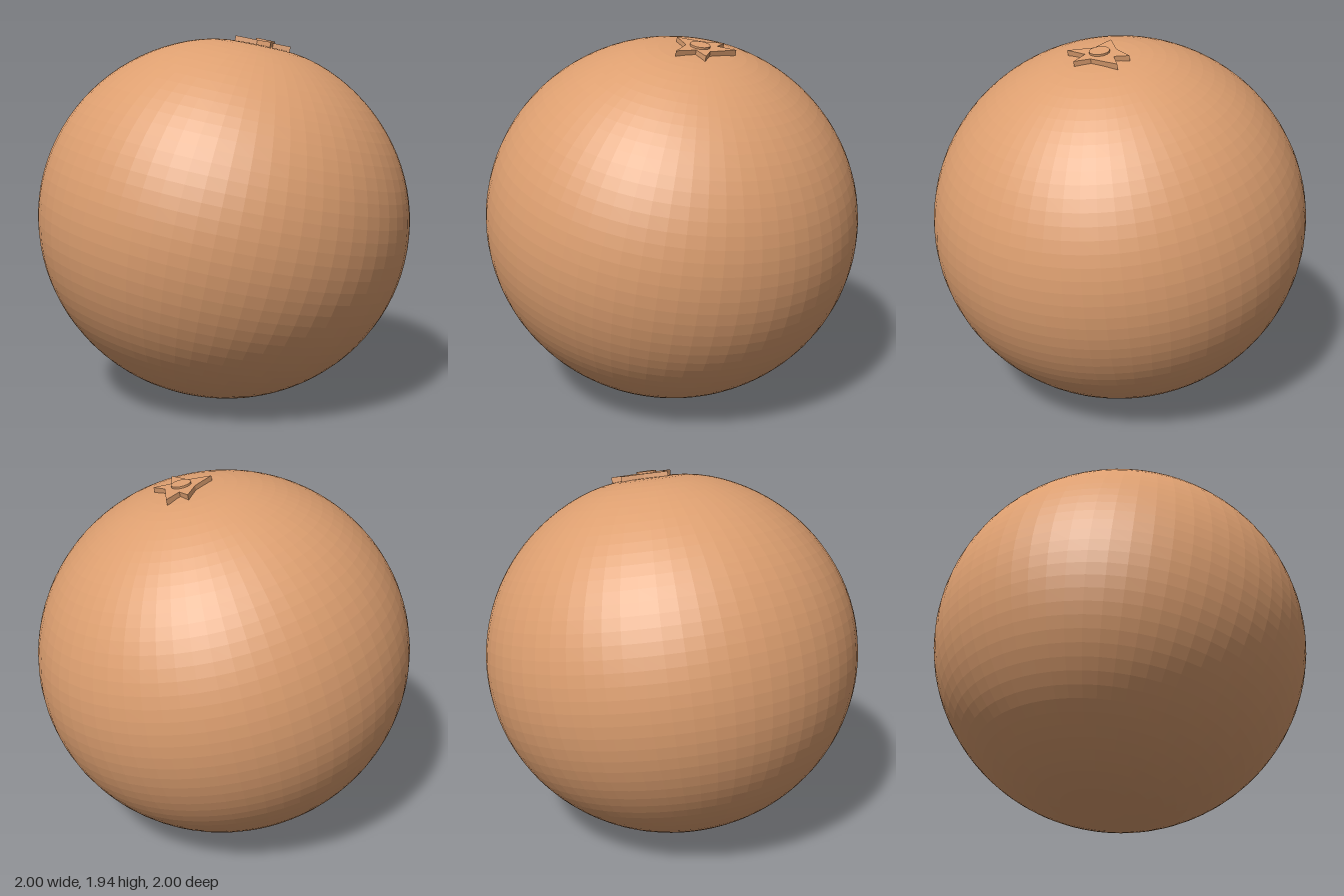
import * as THREE from 'three';

const material = new THREE.MeshStandardMaterial({ color: 0xdd9f70, flatShading: true });

function addMesh(parent, name, geometry) {
  const mesh = new THREE.Mesh(geometry, material);
  mesh.name = name;
  parent.add(mesh);
  return mesh;
}

// Slightly squashed sphere with a shallow dimple at each pole
function fruitGeometry() {
  const geometry = new THREE.SphereGeometry(1, 64, 48);
  const p = geometry.attributes.position;
  for (let i = 0; i < p.count; i++) {
    const r = Math.hypot(p.getX(i), p.getZ(i));
    p.setY(i, p.getY(i) * (0.967 - 0.018 * Math.exp(-((r / 0.2) ** 2))));
  }
  geometry.computeVertexNormals();
  return geometry;
}

// Irregular five-pointed calyx, outlined as [x, z] around the stem
function calyxGeometry() {
  const outline = [
    [-0.155, 0.0], [-0.045, 0.05], [0.005, 0.175], [0.04, 0.065], [0.13, 0.09],
    [0.09, 0.015], [0.13, -0.14], [0.045, -0.09], [0.025, -0.165], [-0.045, -0.07],
  ];
  const shape = new THREE.Shape(outline.map(([x, z]) => new THREE.Vector2(x, -z)));
  const geometry = new THREE.ExtrudeGeometry(shape, { depth: 0.03, bevelEnabled: false });
  return geometry.rotateX(-Math.PI / 2);
}

export function createModel() {
  const model = new THREE.Group();
  model.name = 'orange';

  // The whole fruit leans a little to its left
  const fruit = new THREE.Group();
  fruit.name = 'tiltedFruit';
  fruit.position.y = 0.968;
  fruit.rotation.set(0.026, 0, -0.205);
  model.add(fruit);

  addMesh(fruit, 'peel', fruitGeometry());
  addMesh(fruit, 'calyx', calyxGeometry()).position.set(0.013, 0.942, 0);

  // Stem stub in the middle of the calyx
  const stem = addMesh(fruit, 'stem', new THREE.CylinderGeometry(0.052, 0.052, 0.04, 16));
  stem.position.set(0.02, 0.962, 0);

  return model;
}
